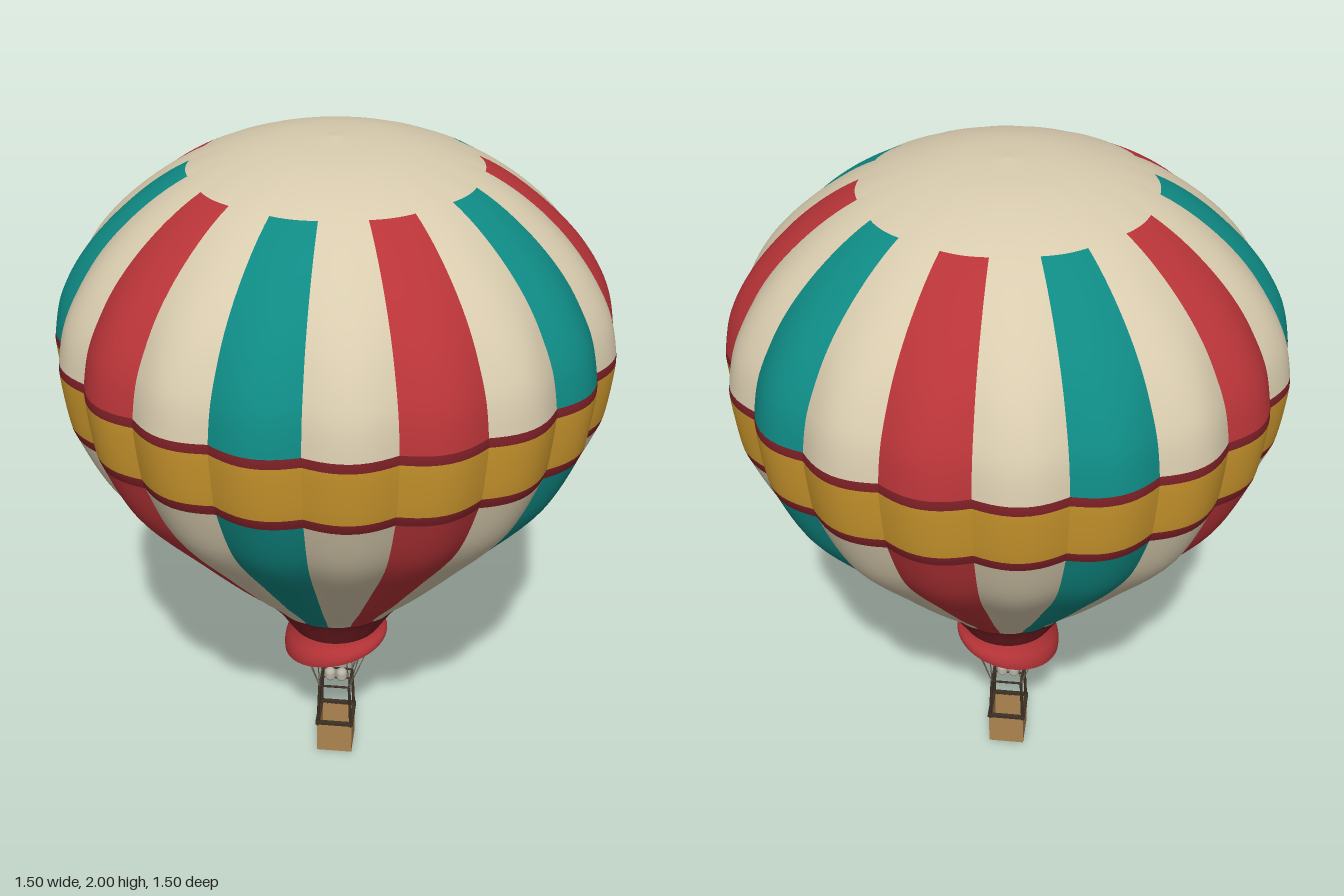
import * as THREE from 'three';

const paint = (name, color) =>
  new THREE.MeshStandardMaterial({ name, color, side: THREE.DoubleSide });

const GORES = 20, STEP = (Math.PI * 2) / GORES;

// Envelope profile [radius, height], from the crown down to the mouth
const PROFILE = [
  [0, 2], [0.2, 1.98], [0.385, 1.92], [0.54, 1.82], [0.66, 1.7], [0.73, 1.58],
  [0.754, 1.478], [0.756, 1.453], [0.739, 1.3], [0.729, 1.27], [0.65, 1.1],
  [0.475, 0.89], [0.345, 0.745], [0.212, 0.605], [0.137, 0.49],
];
// Colour zones as [first profile point, last profile point, material slot]
const ZONES = [[0, 2, 0], [2, 6, 1], [6, 7, 2], [7, 8, 3], [8, 9, 2], [9, 13, 1], [13, 14, 2]];

// One bulging gore, grouped by colour zone
function goreGeometry() {
  const sub = 6, cols = 10, rows = (PROFILE.length - 1) * sub;
  const curve = new THREE.CatmullRomCurve3(PROFILE.map(([r, y]) => new THREE.Vector3(r, y, 0)));
  const pos = [], index = [];
  for (let i = 0; i <= rows; i++) {
    const p = curve.getPoint(i / rows);
    const fade = Math.min(1, (2 - p.y) / 0.35) * THREE.MathUtils.clamp((p.y - 0.5) / 0.3, 0, 1);
    for (let j = 0; j <= cols; j++) {
      const t = j / cols, a = t * STEP;
      const r = p.x * (1 - 0.036 * fade * (1 - Math.sin(Math.PI * t)));
      pos.push(r * Math.sin(a), p.y, r * Math.cos(a));
    }
  }
  for (let i = 0; i < rows; i++) {
    for (let j = 0; j < cols; j++) {
      const a = i * (cols + 1) + j, c = a + cols + 1;
      index.push(a, c, a + 1, a + 1, c, c + 1);
    }
  }
  const g = new THREE.BufferGeometry();
  g.setAttribute('position', new THREE.Float32BufferAttribute(pos, 3));
  g.setIndex(index);
  g.computeVertexNormals();
  const perPoint = sub * cols * 6;
  for (const [from, to, slot] of ZONES) g.addGroup(from * perPoint, (to - from) * perPoint, slot);
  return g;
}

// Flared skirt whose lower edge is cut on a slant
function skirtGeometry() {
  const outline = [[0.156, 0], [0.157, 0.2], [0.153, 0.45], [0.143, 0.75], [0.137, 1]]
    .map(([r, s]) => new THREE.Vector2(r, s));
  const g = new THREE.LatheGeometry(new THREE.SplineCurve(outline).getPoints(14), 64);
  const p = g.attributes.position;
  for (let i = 0; i < p.count; i++) {
    p.setY(i, THREE.MathUtils.lerp(0.417 + 0.21 * p.getX(i), 0.492, p.getY(i)));
  }
  g.computeVertexNormals();
  return g;
}

export function createModel() {
  const cream = paint('cream', 0xd8cbae);
  const teal = paint('teal', 0x0f8a84);
  const red = paint('red', 0xb83438);
  const maroon = paint('maroon', 0x7c2026);
  const gold = paint('gold', 0xc8942c);
  const wicker = paint('wicker', 0xae8450);
  const dark = paint('darkBrown', 0x3c3024);
  const rope = paint('rope', 0x6a6052);
  const metal = paint('metal', 0xb9b2a4);

  const model = new THREE.Group();
  model.name = 'hotAirBalloon';
  const group = (name) => {
    const g = new THREE.Group();
    g.name = name;
    model.add(g);
    return g;
  };
  const add = (parent, name, geometry, material, x = 0, y = 0, z = 0) => {
    const m = new THREE.Mesh(geometry, material);
    m.name = name;
    m.position.set(x, y, z);
    parent.add(m);
    return m;
  };
  const rod = (parent, name, from, to, radius, material) => {
    const a = new THREE.Vector3(...from), b = new THREE.Vector3(...to);
    const d = b.clone().sub(a);
    const m = add(parent, name, new THREE.CylinderGeometry(radius, radius, d.length(), 8), material);
    m.position.copy(a).add(b).multiplyScalar(0.5);
    m.quaternion.setFromUnitVectors(new THREE.Vector3(0, 1, 0), d.normalize());
  };

  // Envelope: plain gores alternate with red and teal ones
  const envelope = group('envelope');
  const gore = goreGeometry();
  for (let k = 0; k < GORES; k++) {
    const panel = [cream, red, cream, teal][k % 4];
    add(envelope, 'gore', gore, [cream, panel, maroon, gold]).rotation.y = k * STEP;
  }
  add(model, 'skirt', skirtGeometry(), red);

  // Basket: floor, four walls and a dark rim
  const basket = group('basket');
  add(basket, 'floor', new THREE.BoxGeometry(0.11, 0.008, 0.11), wicker, 0, 0.004, 0);
  for (let i = 0; i < 4; i++) {
    const side = new THREE.Group();
    side.name = 'basketSide';
    side.rotation.y = (i * Math.PI) / 2;
    basket.add(side);
    add(side, 'wall', new THREE.BoxGeometry(0.11, 0.108, 0.008), wicker, 0, 0.054, 0.051);
    add(side, 'rim', new THREE.BoxGeometry(0.118, 0.01, 0.012), dark, 0, 0.111, 0.053);
  }

  // Burner frame: corner poles, top square and the fan of ropes at each corner
  const frame = group('burnerFrame');
  const ropes = group('ropes');
  const w = 0.046, top = 0.253;
  for (let i = 0; i < 4; i++) {
    const turn = Math.PI / 4 + (i * Math.PI) / 2;
    const at = (r, y, a) => [r * Math.sin(a), y, r * Math.cos(a)];
    const corner = at(w * Math.SQRT2, top, turn);
    rod(frame, 'pole', at(0.052 * Math.SQRT2, 0.1, turn), corner, 0.0045, dark);
    rod(frame, 'topBar', corner, at(w * Math.SQRT2, top, turn + Math.PI / 2), 0.0035, dark);
    for (const spread of [-0.47, 0, 0.47]) {
      rod(ropes, 'rope', corner, at(0.138, 0.485, turn + spread), 0.0016, rope);
    }
  }

  // Twin burners on a cross bar
  const burners = group('burners');
  rod(burners, 'crossBar', [-w, top, 0], [w, top, 0], 0.003, dark);
  const can = new THREE.CapsuleGeometry(0.017, 0.012, 8, 20);
  for (const s of [-1, 1]) add(burners, 'burner', can, metal, s * 0.018, 0.267, 0);

  return model;
}
